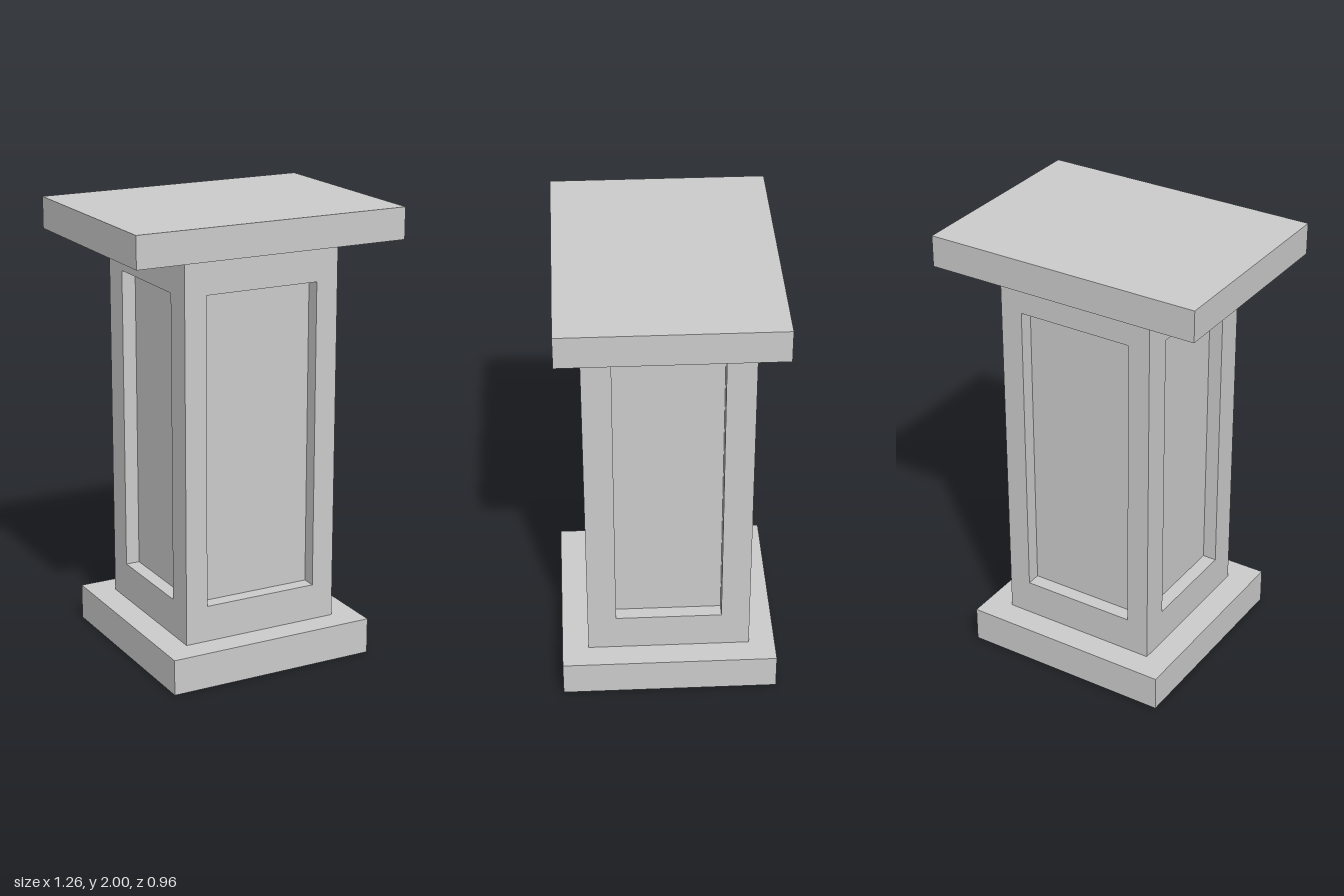
import * as THREE from 'three';

const material = new THREE.MeshStandardMaterial({ color: 0xcccccc });

const HALF = 0.363;      // half width of the square shaft
const BASE_TOP = 0.16;
const CAP_BOTTOM = 1.86;

function slab(name, width, depth, y0, y1) {
  const mesh = new THREE.Mesh(new THREE.BoxGeometry(width, y1 - y0, depth), material);
  mesh.name = name;
  mesh.position.y = (y0 + y1) / 2;
  return mesh;
}

// One shaft face with a sunken panel, made from nested rectangles: edge, opening, recess floor
function panelFace(name, halfWidth, y0, y1, depth) {
  const ring = (w, a, b, z) => [[-w, a, z], [w, a, z], [w, b, z], [-w, b, z]];
  const rings = [
    ring(HALF, BASE_TOP, CAP_BOTTOM, HALF),
    ring(halfWidth, y0, y1, HALF),
    ring(halfWidth, y0, y1, HALF - depth),
  ];
  const positions = [];
  const quad = (a, b, c, d) => positions.push(...a, ...b, ...c, ...a, ...c, ...d);
  for (let r = 0; r < 2; r++) {
    for (let i = 0; i < 4; i++) {
      const j = (i + 1) % 4;
      quad(rings[r][i], rings[r][j], rings[r + 1][j], rings[r + 1][i]);
    }
  }
  quad(...rings[2]);

  const geometry = new THREE.BufferGeometry();
  geometry.setAttribute('position', new THREE.Float32BufferAttribute(positions, 3));
  geometry.computeVertexNormals();
  const mesh = new THREE.Mesh(geometry, material);
  mesh.name = name;
  return mesh;
}

export function createModel() {
  const model = new THREE.Group();
  model.name = 'pedestal';

  // Plinth and overhanging top
  model.add(slab('base', 0.96, 0.96, 0, BASE_TOP));
  model.add(slab('top', 1.256, 0.935, CAP_BOTTOM, 2));

  // Shaft: four recessed faces, the side panels slightly smaller
  const shaft = new THREE.Group();
  shaft.name = 'shaft';
  ['frontFace', 'leftFace', 'backFace', 'rightFace'].forEach((name, i) => {
    const face = i % 2 === 0
      ? panelFace(name, 0.262, 0.322, 1.695, 0.065)
      : panelFace(name, 0.236, 0.328, 1.69, 0.063);
    face.rotation.y = (i * Math.PI) / 2;
    shaft.add(face);
  });
  model.add(shaft);

  return model;
}
